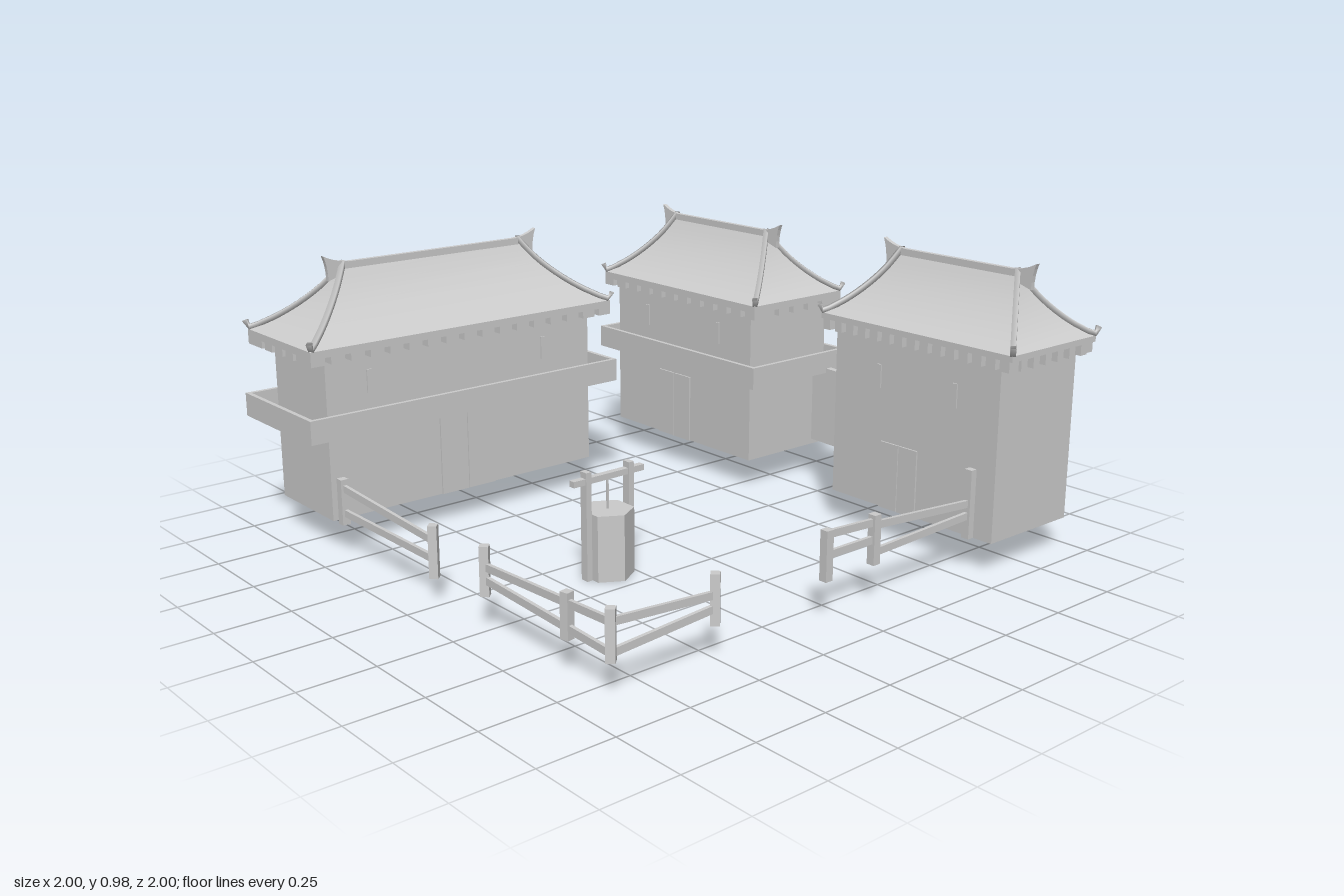
import * as THREE from 'three';
import { toCreasedNormals } from 'three/addons/utils/BufferGeometryUtils.js';

const mat = new THREE.MeshStandardMaterial({ color: 0xcccccc, side: THREE.DoubleSide });
const BASE = 0.11; // ground level of the houses
// inward fraction and height fraction of the sweeping roof
const SWEEP = [[0, 0], [0.2, 0.1], [0.4, 0.25], [0.6, 0.44], [0.78, 0.65], [0.9, 0.83], [1, 1]];

function add(parent, name, geo, x = 0, y = 0, z = 0) {
  const m = new THREE.Mesh(geo, mat);
  m.name = name;
  m.position.set(x, y, z);
  parent.add(m);
  return m;
}

// box given by its footprint centre and its bottom and top
function block(parent, name, w, d, y0, y1, x = 0, z = 0) {
  return add(parent, name, new THREE.BoxGeometry(w, y1 - y0, d), x, (y0 + y1) / 2, z);
}

// straight bar from a to b
function beam(parent, name, a, b, w, h) {
  const p = new THREE.Vector3(...a), q = new THREE.Vector3(...b);
  const m = add(parent, name, new THREE.BoxGeometry(w, h, p.distanceTo(q)));
  m.position.copy(p).add(q).multiplyScalar(0.5);
  m.lookAt(q);
  return m;
}

// four curved slopes between the eave rectangle and the ridge line
function roofGeometry(hx, hz, ridge, rise) {
  const pos = [];
  const corner = ([f, h], sx, sz) => [sx * (hx + (ridge - hx) * f), h * rise, sz * hz * (1 - f)];
  const around = [[1, 1], [1, -1], [-1, -1], [-1, 1]];
  for (let s = 0; s < 4; s++) {
    const p = around[s], q = around[(s + 1) % 4];
    for (let i = 0; i < SWEEP.length - 1; i++) {
      const a = corner(SWEEP[i], ...p), b = corner(SWEEP[i], ...q);
      const c = corner(SWEEP[i + 1], ...q), d = corner(SWEEP[i + 1], ...p);
      pos.push(...a, ...b, ...c, ...a, ...c, ...d);
    }
  }
  const g = new THREE.BufferGeometry();
  g.setAttribute('position', new THREE.Float32BufferAttribute(pos, 3));
  return toCreasedNormals(g, 0.6);
}

function roof(parent, o) {
  const { hx, hz, ridge, eave, rise } = o;
  const g = new THREE.Group();
  g.name = 'roof';
  parent.add(g);
  add(g, 'roofSlopes', roofGeometry(hx, hz, ridge, rise), 0, eave, 0);
  block(g, 'eaveSlab', 2 * hx, 2 * hz, eave - o.slab, eave);
  block(g, 'ridgeBar', 2 * ridge, 0.018, eave + rise - 0.015, eave + rise + 0.008);

  // rafter ends under the eaves
  const top = eave - o.slab, low = top - o.tooth;
  const nx = Math.round(2 * hx / o.pitch), nz = Math.round(2 * hz / o.pitch);
  for (const s of [-1, 1]) {
    for (let i = 0; i <= nx; i++)
      block(g, 'rafterEnd', o.toothWidth, 0.06, low, top, (hx - 0.025) * (2 * i / nx - 1), s * (hz - 0.03));
    for (let i = 1; i < nz; i++)
      block(g, 'rafterEnd', 0.06, o.toothWidth, low, top, s * (hx - 0.03), hz * (2 * i / nz - 1));
  }

  // raised hip ribs with upturned tips
  for (const sx of [-1, 1]) for (const sz of [-1, 1]) {
    const pts = SWEEP.map(([f, h]) => new THREE.Vector3(
      sx * (hx + (ridge - hx) * f), eave + h * rise + 0.008, sz * hz * (1 - f)));
    pts.unshift(new THREE.Vector3(sx * (hx + 0.005), eave + 0.03, sz * (hz + 0.005)));
    add(g, 'hipRib', new THREE.TubeGeometry(new THREE.CatmullRomCurve3(pts), 14, 0.012, 4));
  }

  // horns at the ridge ends
  const horn = new THREE.Shape();
  horn.moveTo(-0.02, 0.008);
  horn.quadraticCurveTo(0.03, 0.01, 0.075, 0.035);
  horn.quadraticCurveTo(0.06, 0, 0.06, -0.05);
  horn.lineTo(0, -0.03);
  const hornGeo = new THREE.ExtrudeGeometry(horn, { depth: 0.016, bevelEnabled: false, curveSegments: 4 });
  hornGeo.translate(0, 0, -0.008);
  for (const s of [-1, 1])
    add(g, 'ridgeHorn', hornGeo, s * ridge, eave + rise, 0).rotation.y = s > 0 ? 0 : Math.PI;
}

function balcony(parent, w, d, wallW, wallD) {
  const ring = (iw, id, h) => {
    const rect = (P, a, b) => new P([[-a, -b], [a, -b], [a, b], [-a, b]].map(([x, y]) => new THREE.Vector2(x / 2, y / 2)));
    const s = rect(THREE.Shape, w, d);
    s.holes.push(rect(THREE.Path, iw, id));
    return new THREE.ExtrudeGeometry(s, { depth: h, bevelEnabled: false }).rotateX(-Math.PI / 2);
  };
  add(parent, 'balconyFloor', ring(wallW, wallD, 0.015), 0, 0.4, 0);
  add(parent, 'balconyParapet', ring(w - 0.03, d - 0.03, 0.08), 0, 0.4, 0);
}

// local x runs along the ridge, the door faces local +z
function house(parent, name, x, z, turn, o) {
  const g = new THREE.Group();
  g.name = name;
  g.position.set(x, 0, z);
  g.rotation.y = turn;
  parent.add(g);
  const walls = block(g, 'walls', o.w, o.d, BASE, o.eave - o.slab);
  // open underneath
  const idx = Array.from(walls.geometry.index.array);
  idx.splice(18, 6);
  walls.geometry.setIndex(idx);
  roof(g, o);
  if (o.balcony) balcony(g, ...o.balcony, o.w, o.d);
  const f = o.d / 2;
  for (const s of [-1, 1])
    block(g, 'doorLeaf', o.door / 2 - 0.003, 0.012, BASE, o.doorTop, o.doorX + s * o.door / 4, f);
  for (const wx of o.windows) block(g, 'windowSlit', 0.02, 0.01, 0.52, 0.6, wx, f);
  return g;
}

function fence(parent, name, posts, rails) {
  const g = new THREE.Group();
  g.name = name;
  parent.add(g);
  for (const [x, z, y0, y1, turn] of posts)
    block(g, 'fencePost', 0.028, 0.028, y0, y1, x, z).rotation.y = turn;
  for (const [a, b] of rails) beam(g, 'fenceRail', a, b, 0.012, 0.024);
}

export function createModel() {
  const root = new THREE.Group();
  root.name = 'courtyard';

  const low = { eave: 0.7, rise: 0.22, slab: 0.025, tooth: 0.025, toothWidth: 0.05, pitch: 0.075 };
  house(root, 'mainHouse', -0.38, -0.765, 0, {
    ...low, w: 1.06, d: 0.34, hx: 0.6, hz: 0.215, ridge: 0.35,
    balcony: [1.24, 0.45], door: 0.22, doorTop: 0.4, doorX: 0, windows: [-0.37, 0.33],
  });
  house(root, 'sideHouse', 0.76, -0.555, -Math.PI / 2, {
    ...low, w: 0.75, d: 0.38, hx: 0.425, hz: 0.22, ridge: 0.25,
    balcony: [0.88, 0.47], door: 0.18, doorTop: 0.36, doorX: -0.04, windows: [-0.2, 0.2],
  });
  const tower = house(root, 'gateHouse', 0.76, 0.59, -Math.PI / 2, {
    eave: 0.735, rise: 0.21, slab: 0.02, tooth: 0.035, toothWidth: 0.03, pitch: 0.058,
    w: 0.69, d: 0.38, hx: 0.4, hz: 0.212, ridge: 0.24,
    door: 0.16, doorTop: 0.34, doorX: -0.05, windows: [-0.15, 0.17],
  });
  block(tower, 'backWindow', 0.02, 0.03, 0.4, 0.475, -0.35, 0);

  beam(root, 'linkWall', [0.93, 0.255, 0.25], [0.907, 0.275, -0.19], 0.025, 0.29);

  // well with posts, crossbar and rope
  const well = new THREE.Group();
  well.name = 'well';
  well.position.set(-0.335, 0, 0.13);
  root.add(well);
  add(well, 'wellShaft', toCreasedNormals(new THREE.CylinderGeometry(0.085, 0.085, 0.22, 6), 0.5), 0, 0.11, 0);
  for (const s of [-1, 1]) block(well, 'wellPost', 0.02, 0.03, 0, 0.36, s * 0.085, 0);
  block(well, 'wellCrossbar', 0.28, 0.022, 0.32, 0.34);
  block(well, 'wellRope', 0.006, 0.006, 0.22, 0.33);

  const q = Math.PI / 4;
  fence(root, 'backFence', [[-0.88, -0.03, 0.08, 0.25, q], [-0.893, -0.55, 0.11, 0.265, 0]], [
    [[-0.88, 0.2, -0.03], [-0.893, 0.235, -0.56]],
    [[-0.88, 0.14, -0.03], [-0.893, 0.15, -0.56]],
  ]);
  fence(root, 'cornerFence', [
    [-0.88, 0.245, 0.11, 0.265, q], [-0.88, 0.64, 0.11, 0.25, 0.2],
    [-0.88, 0.83, 0.11, 0.265, q], [-0.51, 0.83, 0.11, 0.265, q],
  ], [
    [[-0.88, 0.225, 0.83], [-0.51, 0.2, 0.83]],
    [[-0.88, 0.135, 0.83], [-0.51, 0.16, 0.83]],
    [[-0.88, 0.225, 0.83], [-0.88, 0.2, 0.245]],
    [[-0.88, 0.135, 0.83], [-0.88, 0.16, 0.245]],
  ]);
  fence(root, 'frontFence', [
    [-0.08, 0.84, 0.13, 0.29, 0], [0.125, 0.84, 0.13, 0.29, 0], [0.56, 0.848, 0.11, 0.34, 0],
  ], [
    [[-0.08, 0.275, 0.84], [0.125, 0.265, 0.84]],
    [[-0.08, 0.21, 0.84], [0.125, 0.21, 0.84]],
    [[0.125, 0.255, 0.84], [0.57, 0.225, 0.848]],
    [[0.125, 0.167, 0.84], [0.57, 0.187, 0.848]],
  ]);
  return root;
}
